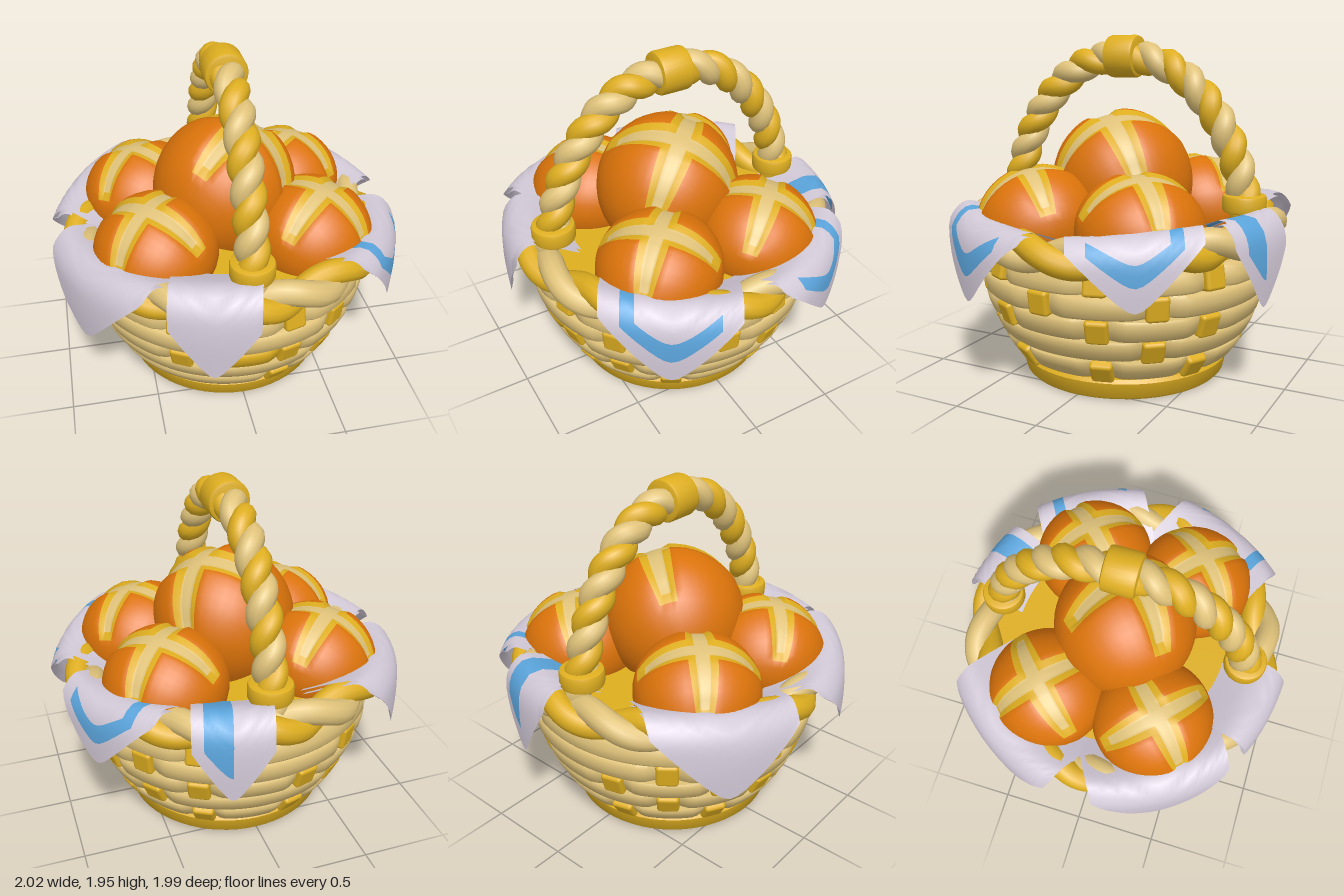
import * as THREE from 'three';
import { toCreasedNormals } from 'three/addons/utils/BufferGeometryUtils.js';
import { RoundedBoxGeometry } from 'three/addons/geometries/RoundedBoxGeometry.js';

const V2 = (x, y) => new THREE.Vector2(x, y);
const V3 = (x, y, z) => new THREE.Vector3(x, y, z);

function material(name, color, side = THREE.FrontSide) {
  const m = new THREE.MeshStandardMaterial({ color, side });
  m.name = name;
  return m;
}

// One strand of a twisted rope that follows a path
class Strand extends THREE.Curve {
  constructor(path, planeNormal, offset, turns, phase) {
    super();
    Object.assign(this, { path, planeNormal, offset, turns, phase });
  }
  getPoint(t, target = new THREE.Vector3()) {
    const side = this.path.getTangentAt(t).cross(this.planeNormal).normalize();
    const a = this.phase - this.turns * Math.PI * 2 * t;
    return target.copy(this.path.getPointAt(t))
      .addScaledVector(side, Math.cos(a) * this.offset)
      .addScaledVector(this.planeNormal, Math.sin(a) * this.offset);
  }
}

// Smooth surface over a grid of parameters, with a material index for each cell
function gridGeometry(us, vs, point, cellMaterial, count) {
  const positions = [], faces = Array.from({ length: count }, () => []);
  const n = vs.length;
  for (const u of us) for (const v of vs) positions.push(...point(u, v).toArray());
  for (let i = 0; i < us.length - 1; i++) {
    for (let j = 0; j < n - 1; j++) {
      const a = i * n + j, b = a + 1, c = a + n, d = c + 1;
      const k = cellMaterial((us[i] + us[i + 1]) / 2, (vs[j] + vs[j + 1]) / 2);
      faces[k].push(a, b, c, b, d, c);
    }
  }
  const g = new THREE.BufferGeometry();
  g.setAttribute('position', new THREE.Float32BufferAttribute(positions, 3));
  g.setIndex(faces.flat());
  let start = 0;
  faces.forEach((f, k) => { g.addGroup(start, f.length, k); start += f.length; });
  g.computeVertexNormals();
  return g;
}

// Unit loaf: a dome with a cross cut into its top
function loafGeometry() {
  const half = [0.03, 0.055, 0.11, 0.15, 0.22, 0.29, 0.36, 0.43, 0.51, 0.58, 0.64, 0.72, 0.81, 0.9, 1];
  const lines = [...half.map(h => -h).reverse(), 0, ...half];
  const END = 0.58;
  const narrow = (a, b) => Math.abs(a) < 0.13 ? a * (1 - 0.25 * Math.min(1, Math.abs(b) / END) ** 2) : a;
  const point = (u, v) => {
    const near = Math.min(Math.abs(u), Math.abs(v)), far = Math.max(Math.abs(u), Math.abs(v));
    const cut = far < END ? 0.065 * (1 - THREE.MathUtils.smoothstep(near, 0.05, 0.13)) : 0;
    const p = narrow(u, v), q = narrow(v, u);
    const x = p * Math.sqrt(1 - q * q / 2), z = q * Math.sqrt(1 - p * p / 2);
    const r = Math.hypot(x, z), theta = r * 2.1, k = r ? Math.sin(theta) / r : 0;
    return V3(x * k, Math.cos(theta), z * k).multiplyScalar(1 - cut);
  };
  const cell = (u, v) => {
    const near = Math.min(Math.abs(u), Math.abs(v)), far = Math.max(Math.abs(u), Math.abs(v));
    if (far > END || near > 0.11) return 0;
    return near > 0.055 || far > 0.51 ? 1 : 2;
  };
  return gridGeometry(lines, lines, point, cell, 3);
}

export function createModel() {
  const model = new THREE.Group();
  model.name = 'breadBasket';
  const gold = material('gold wicker', 0xdeae20, THREE.DoubleSide);
  const tan = material('pale wicker', 0xdfc27a);
  const crust = material('crust', 0xdb730a);
  const linen = material('linen', 0xd3cad8, THREE.DoubleSide);
  const blue = material('blue stripe', 0x5ba5dc, THREE.DoubleSide);
  const add = (name, geometry, mat, parent = model) => {
    const mesh = new THREE.Mesh(geometry, mat);
    mesh.name = name;
    parent.add(mesh);
    return mesh;
  };
  const group = name => {
    const g = new THREE.Group();
    g.name = name;
    model.add(g);
    return g;
  };

  // Foot, inner wall and floor under the bread
  add('foot', toCreasedNormals(new THREE.LatheGeometry([
    V2(0, 0), V2(0.58, 0), V2(0.595, 0.015), V2(0.615, 0.1), V2(0.6, 0.12), V2(0, 0.12),
  ], 64), 0.7), gold);
  // Rows: radius, height, lean, and where a stake shows (1)
  const rows = [
    [0.69, 0.195, 0.04, '11111110'], [0.76, 0.33, 0.028, '10101100'], [0.81, 0.455, 0.02, '11111111'],
    [0.845, 0.585, 0.008, '11101100'], [0.85, 0.715, -0.01, '11110111']];
  add('innerWall', new THREE.LatheGeometry([
    V2(0.56, 0.11), ...rows.map(([r, y]) => V2(r - 0.1, y)), V2(0.77, 0.85),
  ], 48), gold);
  const fill = add('breadFloor', new THREE.CircleGeometry(0.8, 48), gold);
  fill.rotation.x = -Math.PI / 2;
  fill.position.y = 0.85;

  // Woven rows: each band dips behind the stakes that show
  const weave = group('weave'), STAKES = 8, STEP = Math.PI * 2 / STAKES;
  rows.forEach(([R, y, lean, shown], row) => {
    const phase = (row % 2) * STEP / 2 + 0.28;
    const section = [[-0.07, -0.06], [-0.018, -0.06], [-0.004, -0.045], [0, 0],
      [-0.004, 0.045], [-0.018, 0.06], [-0.07, 0.06], [-0.07, -0.06]]
      .map(([dr, dy]) => V2(R + dr + lean * dy / 0.06, y + dy));
    const band = (from, length, mat) => {
      const g = new THREE.LatheGeometry(section, Math.ceil(length * 20), from, length);
      const p = g.attributes.position;
      for (let i = 0; i < p.count; i++) {
        const x = p.getX(i), z = p.getZ(i), a = Math.atan2(x, z) - phase;
        const stake = (Math.round(a / STEP) + STAKES * 2) % STAKES;
        const dip = shown[stake] === '1' ? 0.055 * Math.max(0, Math.cos(STAKES * a)) ** 2 : 0;
        const k = 1 - dip / Math.hypot(x, z);
        p.setX(i, x * k);
        p.setZ(i, z * k);
      }
      add('band', toCreasedNormals(g, 0.9), mat, weave);
    };
    // The middle row has one gold splint at the front
    const splint = row === 2 ? 0.93 : 0;
    if (splint) band(-0.57, splint, gold);
    band(-0.57 + splint, Math.PI * 2 - splint, tan);
    for (let i = 0; i < STAKES; i++) {
      if (shown[i] === '0') continue;
      const a = phase + i * STEP;
      const stake = add('stake', new RoundedBoxGeometry(0.125, 0.14, 0.09, 2, 0.02), gold, weave);
      stake.position.set(Math.sin(a) * (R - 0.052), y, Math.cos(a) * (R - 0.052));
      stake.rotation.set(Math.atan2(lean, 0.06), a, 0, 'YXZ');
    }
  });

  // Twisted rim and handle, two strands each; the rim sags at the sides
  const rope = (name, path, normal, radius, offset, turns, segments, closed) => {
    const g = group(name);
    [gold, tan].forEach((mat, i) => add('strand', new THREE.TubeGeometry(
      new Strand(path, normal, offset, turns, i * Math.PI), segments, radius, 12, closed), mat, g));
  };
  const circle = Array.from({ length: 32 }, (_, i) => {
    const a = i * Math.PI / 16;
    return V3(Math.sin(a) * 0.835, 0.88 - 0.035 * Math.sin(a) ** 4, Math.cos(a) * 0.835);
  });
  rope('rim', new THREE.CatmullRomCurve3(circle, true), V3(0, 1, 0), 0.072, 0.042, 8, 260, true);
  const side = [[0.755, 0.95], [0.735, 1.06], [0.68, 1.27], [0.585, 1.47], [0.435, 1.66], [0.24, 1.79]];
  const arch = [...side.map(([z, y]) => V3(0, y, z)), V3(0, 1.83, 0),
    ...side.map(([z, y]) => V3(0, y, -z)).reverse()];
  rope('handle', new THREE.CatmullRomCurve3(arch), V3(1, 0, 0), 0.064, 0.032, 9, 260, false);

  // Collars at the ends and the crown of the handle
  const collar = (name, r, h) => {
    const e = 0.02;
    return add(name, toCreasedNormals(new THREE.LatheGeometry([
      V2(0, -h), V2(r - e, -h), V2(r - 0.005, -h + 0.006), V2(r, -h + e),
      V2(r, h - e), V2(r - 0.005, h - 0.006), V2(r - e, h), V2(0, h),
    ], 32), 0.8), gold);
  };
  for (const s of [1, -1]) collar('handleCollar', 0.122, 0.05).position.set(0, 1.04, s * 0.735);
  const crown = collar('crownCollar', 0.12, 0.092);
  crown.position.y = 1.83;
  crown.rotation.x = Math.PI / 2;

  // Loaves: four around one large loaf, each leaning outward
  const loaf = loafGeometry();
  const bread = (name, x, y, z, r, h, leanX, leanZ) => {
    const mesh = add(name, loaf, [crust, gold, tan]);
    mesh.position.set(x, y, z);
    mesh.scale.set(r, h, r);
    mesh.quaternion.setFromUnitVectors(V3(0, 1, 0), V3(leanX, 1, leanZ).normalize())
      .multiply(new THREE.Quaternion().setFromAxisAngle(V3(0, 1, 0), Math.PI / 4));
  };
  for (const sx of [1, -1]) for (const sz of [1, -1]) {
    bread('smallLoaf', sx * 0.445, 0.93, sz * 0.315, 0.35, 0.312, sx * 0.18, sz * 0.12);
  }
  bread('largeLoaf', 0, 1.11, 0.015, 0.41, 0.425, 0.42, 0);

  // Cloth corners draped over the rim; t from 1 to 2 runs back along the underside
  const drape = new THREE.CatmullRomCurve3([
    V3(0.6, 0.92, 0), V3(0.77, 1.005, 0), V3(0.87, 1.03, 0),
    V3(0.95, 0.95, 0), V3(0.972, 0.8, 0), V3(0.96, 0.52, 0),
  ]);
  const ss = Array.from({ length: 21 }, (_, i) => i / 10 - 1);
  const outer = [0, 0.1, 0.2, 0.3, 0.4, 0.5, 0.58, 0.66, 0.74, 0.82, 0.91, 1];
  const ts = [...outer, ...outer.map(t => 2 - t).reverse()];
  // A bent stripe: a band along the point and one arm running up over the rim
  const bentStripe = arm => (s, t) => {
    const band = Math.abs(s) < 0.7 && t > 0.66 && t < 0.82;
    const up = s * arm > 0.5 && s * arm < 0.7 && t > 0.2 && t < 0.82;
    return band || up ? 1 : 0;
  };
  const barStripe = (s, t) => (s < 0 && s > -0.7 && t < 0.82 ? 1 : 0);
  const plain = () => 0;
  // Name, angle, half width, reach, length, rise of the sides, stripe
  [
    ['frontCloth', -0.25, 0.24, 1.02, 1, 0.42, plain],
    ['backCloth', Math.PI - 0.28, 0.21, 1.025, 0.96, 0.42, barStripe],
    ['leftBackCloth', 2.09, 0.34, 1.05, 0.83, 0.5, bentStripe(1)],
    ['leftFrontCloth', 1.06, 0.37, 1.05, 0.92, 0.54, bentStripe(-1)],
    ['rightFrontCloth', -1.05, 0.4, 1.05, 0.93, 0.54, plain],
    ['rightBackCloth', -2.14, 0.4, 1.05, 0.93, 0.54, plain],
  ].forEach(([name, angle, width, reach, length, rise, stripe]) => {
    const sin = Math.sin(angle), cos = Math.cos(angle);
    const point = (s, t) => {
      const drop = length * (1 + rise * (0.14 - Math.sqrt(s * s + 0.02)));
      const at = Math.min(1, (t > 1 ? 2 - t : t) * drop);
      const p = drape.getPointAt(at), along = drape.getTangentAt(at);
      const inset = t > 1 ? 0.024 : 0, across = s * width;
      const r = Math.sqrt(((p.x + along.y * inset) * reach) ** 2 - 0.8 * across ** 2);
      const x = sin * r + cos * across, z = cos * r - sin * across;
      const sag = 0.06 * (x / Math.hypot(x, z)) ** 4;
      return V3(x, p.y - along.x * inset - sag, z);
    };
    add(name, gridGeometry(ss, ts, point, stripe, 2), [linen, blue]);
  });

  return model;
}
